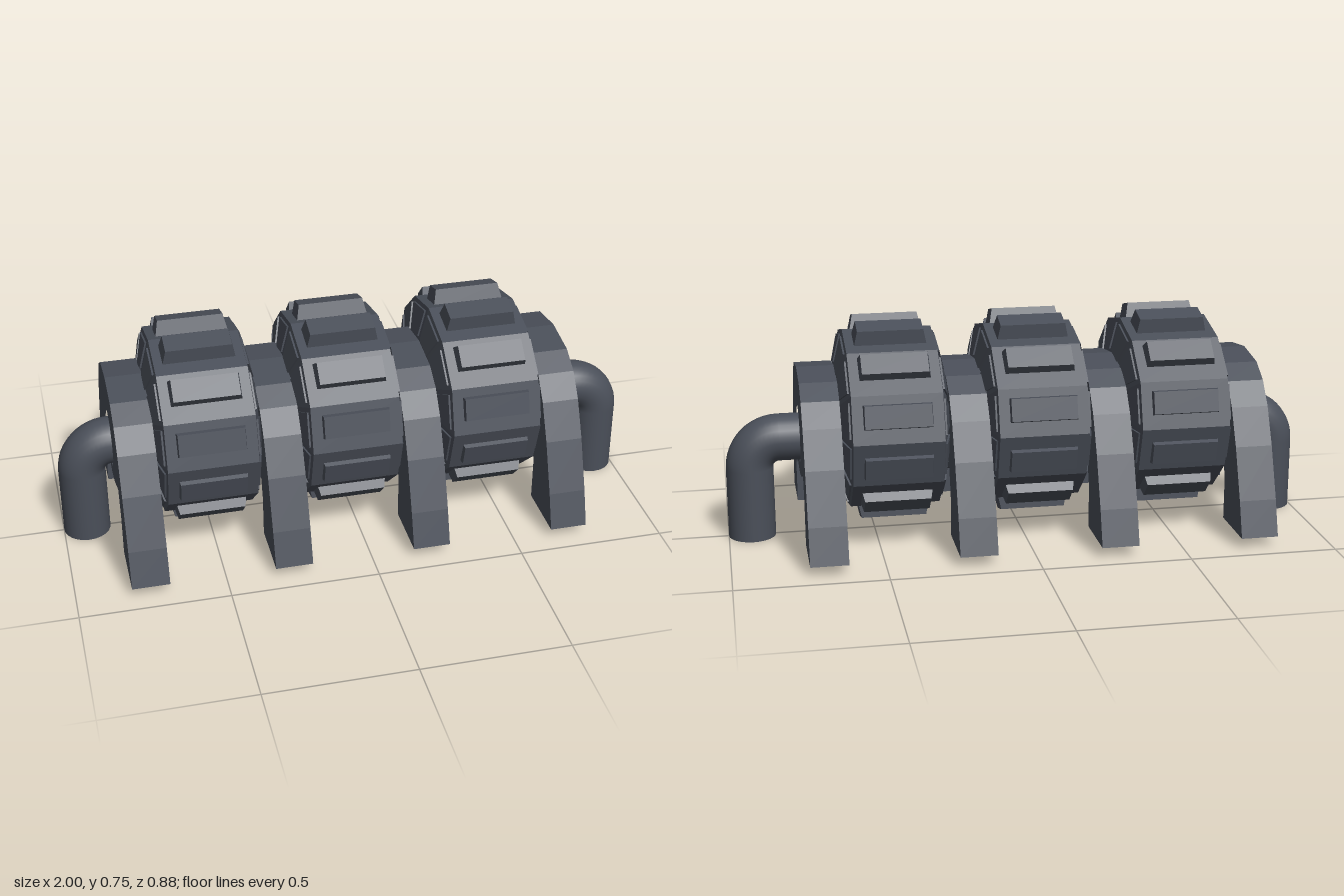
import * as THREE from 'three';
import { mergeGeometries } from 'three/addons/utils/BufferGeometryUtils.js';

const SIDES = 12, STEP = Math.PI * 2 / SIDES;
const DRUM_Y = 0.405, PIPE_Y = 0.345, PIPE_R = 0.08, STRETCH = 1.13;

// Faceted copy of a geometry with hard edges
function faceted(geo) {
  const g = geo.toNonIndexed();
  g.computeVertexNormals();
  return g;
}

// Move every vertex of a geometry by a rule
function warp(geo, rule) {
  const p = geo.attributes.position, v = new THREE.Vector3();
  for (let i = 0; i < p.count; i++) {
    rule(v.fromBufferAttribute(p, i));
    p.setXYZ(i, v.x, v.y, v.z);
  }
  return geo;
}

// Twelve-sided hollow drum with sloping shoulders, axis along x
function drumGeometry() {
  const pts = [[0.14, -0.178], [0.19, -0.178], [0.305, -0.15], [0.305, 0.15],
    [0.19, 0.178], [0.14, 0.178], [0.14, -0.178]].map(([r, x]) => new THREE.Vector2(r, x));
  return faceted(new THREE.LatheGeometry(pts, SIDES).rotateZ(Math.PI / 2).scale(1, 1, STRETCH));
}

// Tapered tread blocks, one over each drum face
function treadGeometry() {
  const blocks = [];
  for (let i = 0; i < SIDES; i++) {
    const g = warp(new THREE.BoxGeometry(1, 1, 1), v => {
      const outer = v.y > 0;
      v.set(v.x * (outer ? 0.22 : 0.25), outer ? 0.346 : 0.275, v.z * (outer ? 0.075 : 0.1));
    });
    blocks.push(faceted(g.rotateX((i + 0.5) * STEP)));
  }
  return mergeGeometries(blocks);
}

// Thin wedge panels on both sloping shoulders
function panelGeometry() {
  const panels = [], half = STEP / 2;
  for (const turn of [0, Math.PI]) {
    for (let i = 0; i < SIDES; i++) {
      const g = warp(new THREE.BoxGeometry(1, 1, 1), v => {
        const r = v.y > 0 ? 0.29 : 0.195;
        const shoulder = 0.178 - (r - 0.19) * 0.028 / 0.115;
        v.set(shoulder + (v.x > 0 ? 0.006 : -0.003), r * Math.cos(half),
          Math.sign(v.z) * (r * Math.sin(half) - 0.016));
      });
      panels.push(faceted(g.rotateY(turn).rotateX((i + 0.5) * STEP).scale(1, 1, STRETCH)));
    }
  }
  return mergeGeometries(panels);
}

// Arched stand with two splayed feet and a bore for the pipe
function standGeometry() {
  const side = [[0.14, 0.568], [0.215, 0.523], [0.275, 0.447], [0.335, 0.325], [0.4, 0.155],
    [0.438, 0.035], [0.225, 0.035], [0.225, 0.18], [0.197, 0.27], [0.08, 0.225]];
  const outline = [[0, 0.588], ...side, [0, 0.215],
    ...side.slice().reverse().map(([z, y]) => [-z, y])];
  const shape = new THREE.Shape(outline.map(([z, y]) => new THREE.Vector2(z, y)));
  const bore = [];
  for (let i = 0; i < 10; i++) {
    const a = i * Math.PI / 5;
    bore.push(new THREE.Vector2(Math.sin(a) * 0.095, 0.352 + Math.cos(a) * 0.1));
  }
  shape.holes.push(new THREE.Path(bore));
  return new THREE.ExtrudeGeometry(shape, { depth: 0.126, bevelEnabled: false })
    .translate(0, 0, -0.063).rotateY(Math.PI / 2);
}

export function createModel() {
  const model = new THREE.Group();
  model.name = 'rollerRack';
  const steel = new THREE.MeshStandardMaterial({ color: 0x4a4f59 });
  steel.name = 'dark steel';

  const add = (parent, name, geo, x = 0, y = 0, z = 0) => {
    const mesh = new THREE.Mesh(geo, steel);
    mesh.name = name;
    mesh.position.set(x, y, z);
    parent.add(mesh);
    return mesh;
  };

  // Three treaded rollers
  const drum = drumGeometry(), treads = treadGeometry(), panels = panelGeometry();
  for (const x of [-0.516, -0.036, 0.444]) {
    const roller = new THREE.Group();
    roller.name = 'roller';
    roller.position.set(x, DRUM_Y, 0);
    add(roller, 'drum', drum);
    add(roller, 'treads', treads);
    add(roller, 'sidePanels', panels);
    model.add(roller);
  }

  // Four stands between and outside the rollers
  const stand = standGeometry();
  for (const x of [-0.755, -0.275, 0.2, 0.688]) add(model, 'stand', stand, x);

  // Pipe through the rollers, bent down to the ground at both ends
  const bend = 0.1, endX = 0.92 - bend, legH = PIPE_Y - bend;
  add(model, 'pipe', new THREE.CylinderGeometry(PIPE_R, PIPE_R, endX * 2, 24, 1, true)
    .rotateZ(Math.PI / 2), 0, PIPE_Y);
  for (const s of [1, -1]) {
    const end = new THREE.Group();
    end.name = s > 0 ? 'leftPipeEnd' : 'rightPipeEnd';
    end.rotation.y = s > 0 ? 0 : Math.PI;
    add(end, 'elbow', new THREE.TorusGeometry(bend, PIPE_R, 24, 12, Math.PI / 2), endX, legH);
    add(end, 'pipeLeg', new THREE.CylinderGeometry(PIPE_R, PIPE_R, legH, 24), 0.92, legH / 2);
    model.add(end);
  }
  return model;
}
